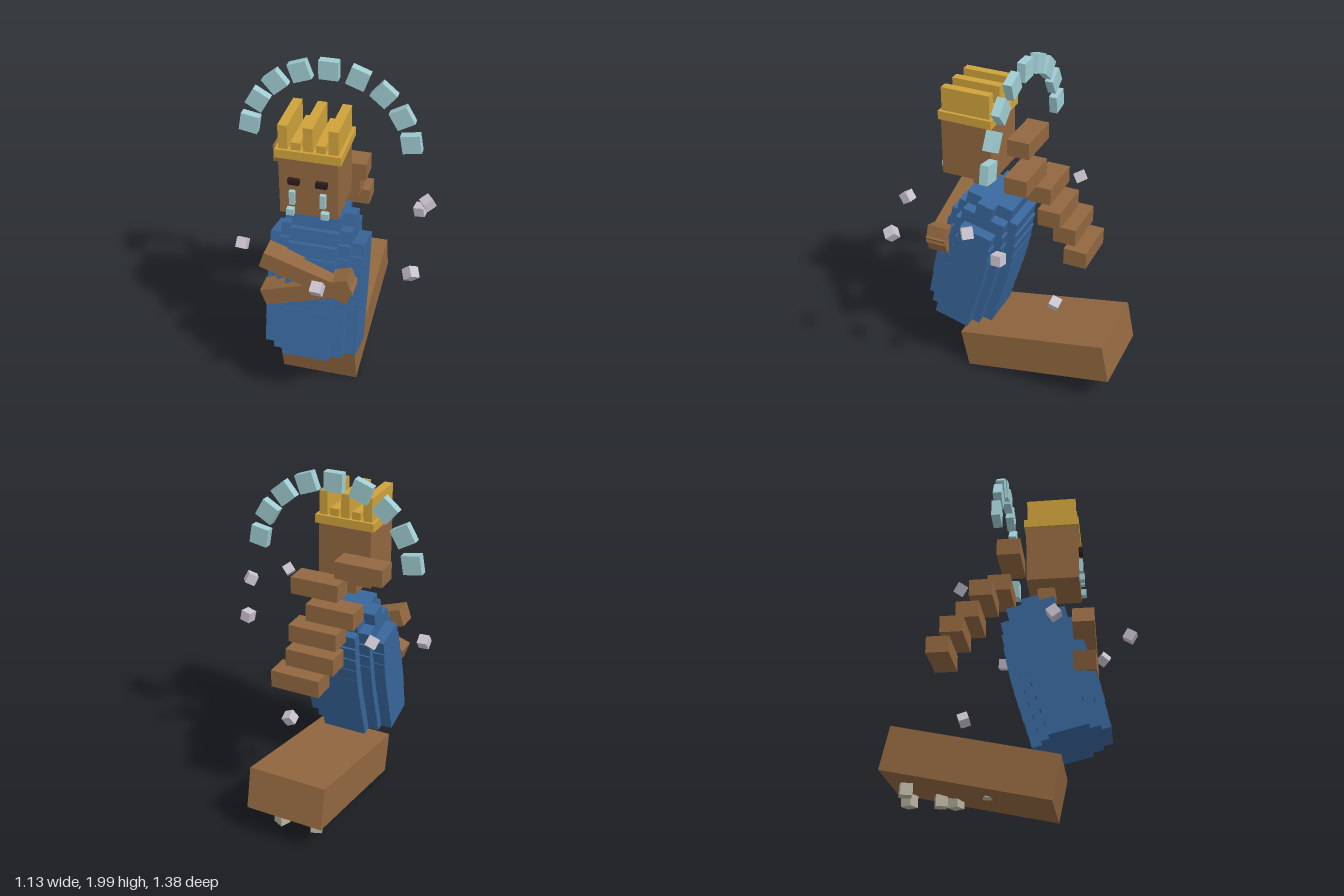
import * as THREE from 'three';

const material = (name, color) => {
  const m = new THREE.MeshStandardMaterial({ color });
  m.name = name;
  return m;
};

export function createModel() {
  const wood = material('brown', 0x91673f);
  const blue = material('blue', 0x38659a);
  const gold = material('gold', 0xcfa23b);
  const ice = material('pale cyan', 0x9fccd2);
  const dark = material('dark brown', 0x2a1d1c);
  const dust = material('lilac grey', 0xc9c2cf);
  const stone = material('stone grey', 0xb8b29f);

  const model = new THREE.Group();
  const CX = -0.05; // centre line of the figure

  // Box from centre and size
  const box = (name, mat, size, pos, rot = [0, 0, 0], parent = model) => {
    const mesh = new THREE.Mesh(new THREE.BoxGeometry(...size), mat);
    mesh.name = name;
    mesh.position.set(...pos);
    mesh.rotation.set(...rot);
    parent.add(mesh);
    return mesh;
  };
  // Box from its limits on each axis
  const span = (name, mat, [x0, x1], [y0, y1], [z0, z1], parent = model) =>
    box(name, mat, [x1 - x0, y1 - y0, z1 - z0],
      [(x0 + x1) / 2, (y0 + y1) / 2, (z0 + z1) / 2], [0, 0, 0], parent);
  const group = (name) => {
    const g = new THREE.Group();
    g.name = name;
    model.add(g);
    return g;
  };

  // Tilted base block
  box('base', wood, [0.46, 0.245, 0.92], [CX, 0.225, -0.215], [0.21, 0, 0]);

  // Torso: stacked layers, each a stepped oval made of three boxes
  const torso = group('torso');
  torso.position.set(CX, 0.37, 0.31);
  torso.rotation.x = -0.235;
  const front = [0.216, 0.218, 0.224, 0.225, 0.222, 0.216, 0.21, 0.203, 0.19, 0.16, 0.12];
  const back = [0.216, 0.22, 0.225, 0.23, 0.234, 0.235, 0.234, 0.23, 0.222, 0.21, 0.16];
  const h = 0.0759;
  front.forEach((f, i) => {
    const y = [i * h, (i + 1) * h];
    const inset = i === 10 ? 0.09 : 0.055;
    span('torsoCentre', blue, [-0.135, 0.135], y, [-back[i], f], torso);
    span('torsoShoulder', blue, [-0.2, 0.2], y, [-back[i] + inset, f - inset], torso);
    if (i < 9) span('torsoSide', blue, [-0.268, 0.268], y, [-back[i] + 0.1, f - 0.115], torso);
  });

  // Crossed arms meeting at one end
  const arms = group('arms');
  box('upperArm', wood, [0.52, 0.103, 0.12], [-0.055, 0.942, 0.395], [0, 0, -0.33], arms);
  box('lowerArm', wood, [0.52, 0.103, 0.12], [-0.055, 0.842, 0.395], [0, 0, 0.33], arms);

  // Head and neck
  span('neck', wood, [-0.1, 0.025], [1.23, 1.32], [0.13, 0.23]);
  span('head', wood, [-0.207, 0.107], [1.31, 1.65], [0.078, 0.375]);

  // Eyes and tears
  const face = group('face');
  const faceParts = [
    ['eye', dark, [-0.155, -0.095], [1.503, 1.535]], ['eye', dark, [-0.007, 0.053], [1.503, 1.535]],
    ['tear', ice, [-0.15, -0.12], [1.38, 1.46]], ['tear', ice, [0.015, 0.045], [1.38, 1.46]],
    ['tearDrop', ice, [-0.165, -0.125], [1.315, 1.353]], ['tearDrop', ice, [0.02, 0.062], [1.315, 1.353]],
  ];
  for (const [name, mat, x, y] of faceParts) {
    span(name, mat, x, y, [0.37, name === 'tearDrop' ? 0.405 : 0.398], face);
  }

  // Crown: band with alternating tall and short fins
  const crown = group('crown');
  span('crownBand', gold, [-0.225, 0.125], [1.648, 1.697], [0.068, 0.383], crown);
  for (let i = 0; i < 5; i++) {
    const x = CX + (i - 2) * 0.066;
    span('crownFin', gold, [x - 0.025, x + 0.025], [1.69, i % 2 ? 1.74 : 1.832], [0.085, 0.368], crown);
  }

  // Hair falling behind in offset steps
  const hair = group('hairSteps');
  [-0.2, 0.022, -0.112, -0.05, -0.075, -0.03].forEach((x, i) =>
    box('hairStep', wood, [0.283, 0.1, 0.132], [x, 1.455 - i * 0.1, -0.008 - i * 0.084], [0, 0, 0], hair));

  // Halo arch of nine blocks
  const halo = group('halo');
  for (let i = 0; i < 9; i++) {
    const a = THREE.MathUtils.degToRad(10 + i * 20);
    box('haloBlock', ice, [0.106, 0.106, 0.048],
      [CX + 0.46 * Math.cos(a), 1.488 + 0.46 * Math.sin(a), -0.051], [0, 0, a - Math.PI / 2], halo);
  }

  // Floating cubes
  const debris = group('floatingCubes');
  [[-0.375, 1.18, -0.265], [0.1, 0.6, -0.315], [0.46, 1.09, -0.13], [0.52, 1.25, 0.02],
    [-0.48, 0.955, 0.25], [0.52, 1.12, 0.48], [0.065, 1.055, 0.645]].forEach((p, i) =>
    box('floatingCube', dust, [0.06, 0.06, 0.06], p, [0.5 + i * 0.9, 0.4 + i * 0.7, 0.3 + i * 1.1], debris));

  // Small stones under the base
  const stones = group('stones');
  [[-0.1, -0.13], [0.07, -0.34], [0.043, -0.417], [0.015, -0.585], [-0.19, -0.56]].forEach(([x, z], i) =>
    box('stone', stone, [0.065, 0.065, 0.065], [x, 0.112, z], [0, 0.3 + i * 0.8, 0], stones));

  return model;
}
